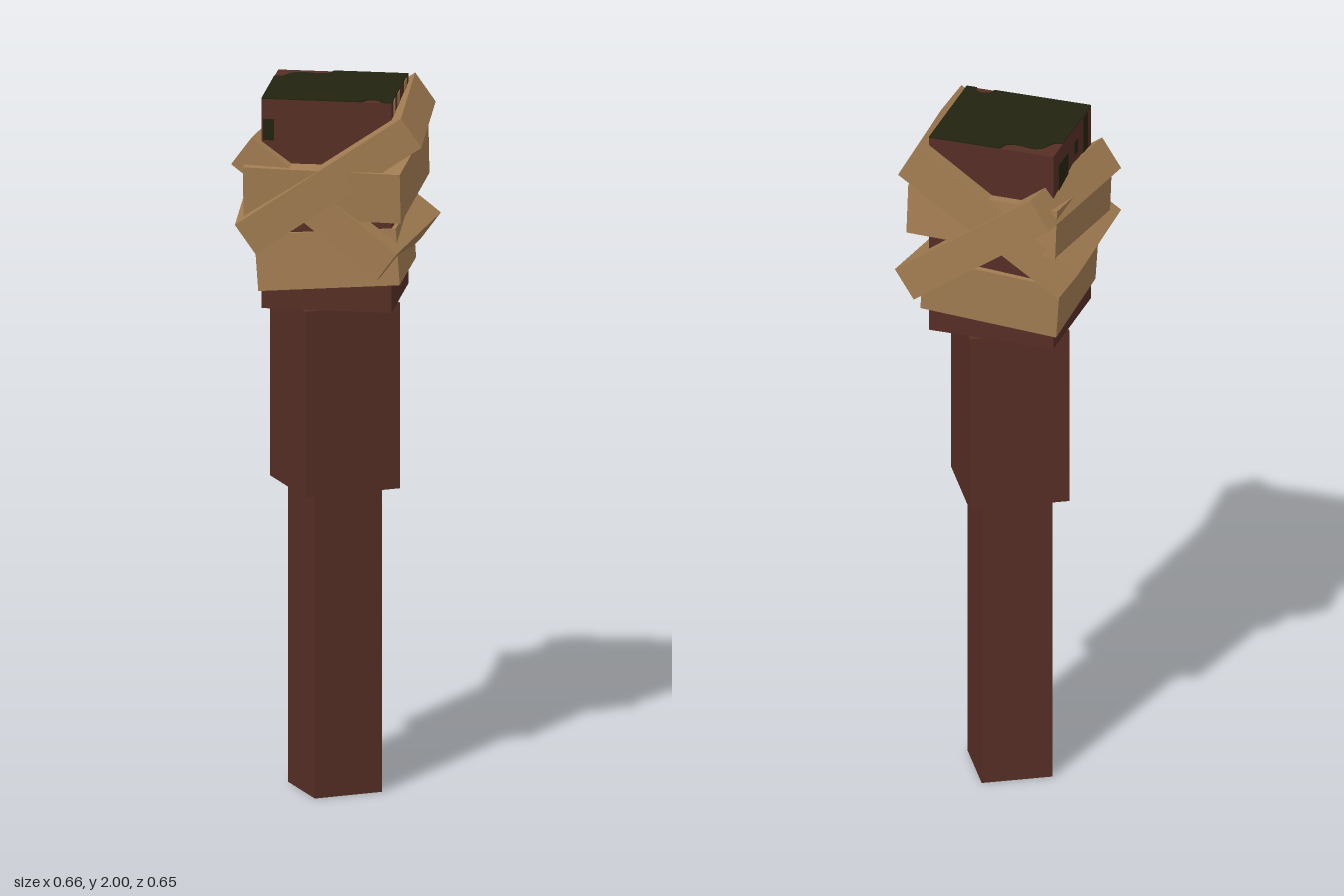
import * as THREE from 'three';

export function createModel() {
  const model = new THREE.Group();
  model.name = 'torch';
  const wood = new THREE.MeshStandardMaterial({ name: 'dark wood', color: 0x562e25 });
  const cloth = new THREE.MeshStandardMaterial({ name: 'tan cloth', color: 0xa17c51 });
  const tar = new THREE.MeshStandardMaterial({ name: 'dark green tar', color: 0x232310 });

  function box(parent, name, size, pos, material) {
    const mesh = new THREE.Mesh(new THREE.BoxGeometry(...size), material);
    mesh.name = name;
    mesh.position.set(...pos);
    parent.add(mesh);
    return mesh;
  }

  // Stepped handle
  box(model, 'lowerHandle', [0.2, 0.87, 0.2], [-0.004, 0.435, 0.009], wood);
  box(model, 'upperHandle', [0.28, 0.53, 0.266], [-0.004, 1.135, 0.008], wood);

  // Turned head block; everything on it uses its local axes
  const W = 0.363, H = 0.597, D = 0.325;
  const head = new THREE.Group();
  head.name = 'head';
  head.position.set(-0.003, 1.4, 0.006);
  head.rotation.y = -Math.PI / 6;
  model.add(head);
  box(head, 'headBlock', [W, H, D], [0, H / 2, 0], wood);

  // Tar on the top, with bare wood at one corner and in a small half-round notch
  const w = W / 2, d = D / 2;
  const top = new THREE.Shape();
  top.moveTo(-w, 0.081);
  top.lineTo(-w, -d);
  top.lineTo(0.1, -d);
  top.absarc(0.126, -d, 0.026, Math.PI, 0, true);
  top.lineTo(w, -d);
  top.lineTo(w, d);
  top.lineTo(-0.025, d);
  top.splineThru([[-0.039, 0.134], [-0.07, 0.128], [-0.109, 0.135],
    [-0.137, 0.124], [-0.158, 0.089], [-w, 0.081]].map(p => new THREE.Vector2(...p)));
  const tarTop = new THREE.Mesh(
    new THREE.ExtrudeGeometry(top, { depth: 0.003, bevelEnabled: false }), tar);
  tarTop.name = 'tarTop';
  tarTop.rotation.x = -Math.PI / 2;
  tarTop.position.y = H;
  head.add(tarTop);

  // Tar drips on the side: [z, centre height, width, height]
  for (const [z, y, wide, tall] of [
    [-0.08, 0.51, 0.08, 0.08], [0.03, 0.535, 0.026, 0.04], [0.11, 0.54, 0.035, 0.11],
  ]) box(head, 'tarDrip', [0.004, tall, wide], [-w, y, z], tar);
  box(head, 'frontTarDrip', [0.03, 0.06, 0.004], [-0.162, 0.51, d], tar);

  // Cloth ends showing at the top edge
  for (const [z, wide] of [[0.11, 0.025], [0.03, 0.04], [-0.1, 0.05]])
    box(head, 'clothEnd', [0.004, 0.08, wide], [w, H - 0.04, z], cloth);

  // Cloth wraps: tilted blocks around the head
  // [name, size, position, turn, roll, tilt]
  for (const [name, size, pos, turn, roll, tilt] of [
    ['risingWrap', [0.56, 0.1, 0.443], [-0.002, 1.778, 0.006], -0.47, 0.04, 0.602],
    ['fallingWrap', [0.515, 0.1, 0.445], [0.005, 1.703, -0.006], -0.66, 0.02, -0.635],
    ['middleWrap', [0.442, 0.143, 0.412], [-0.002, 1.76, 0.012], -0.576, 0.1, 0],
    ['bottomWrap', [0.395, 0.16, 0.352], [-0.002, 1.542, 0.005], -0.51, -0.03, 0.075],
  ]) {
    const wrap = box(model, name, size, pos, cloth);
    wrap.rotation.set(roll, turn, tilt, 'YXZ');
  }
  return model;
}
